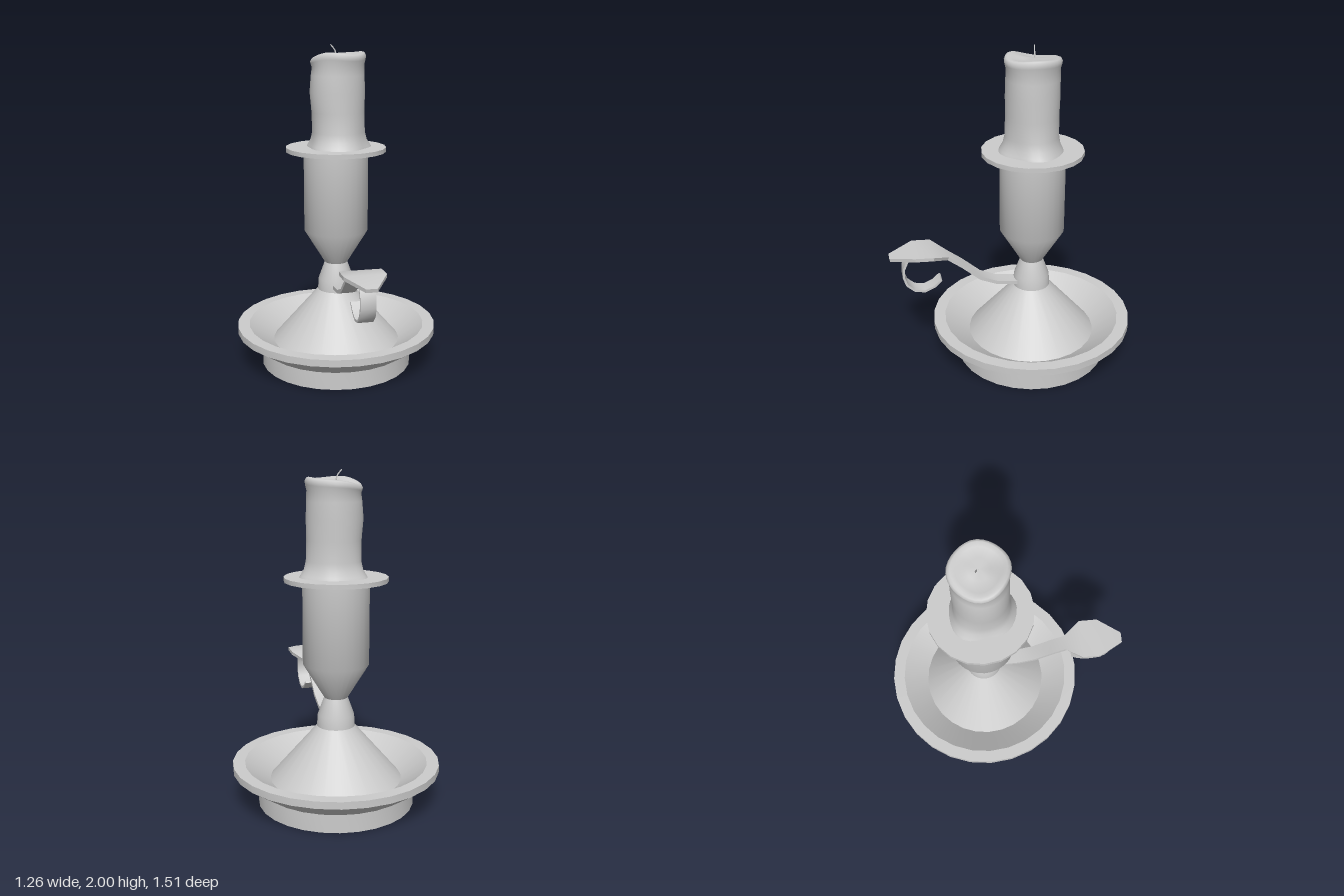
import * as THREE from 'three';
import { toCreasedNormals } from 'three/addons/utils/BufferGeometryUtils.js';

const AXIS_Z = -0.125; // the dish and candle stand behind the centre, the handle in front
const metal = new THREE.MeshStandardMaterial({ color: 0xcccccc, side: THREE.DoubleSide });

function addMesh(group, name, geometry, crease = 0.6) {
  const mesh = new THREE.Mesh(toCreasedNormals(geometry, crease), metal);
  mesh.name = name;
  group.add(mesh);
  return mesh;
}

// Turned part from [radius, height] pairs
function turned(group, name, profile, sides) {
  const points = profile.map(([r, y]) => new THREE.Vector2(r, y));
  const mesh = addMesh(group, name, new THREE.LatheGeometry(points, sides));
  mesh.position.z = AXIS_Z;
  return mesh;
}

// Flat strip following [z, y, halfWidth] stations, with constant thickness
function strip(stations, thickness) {
  const positions = [];
  const index = [];
  stations.forEach(([z, y, w], i) => {
    const a = stations[Math.max(i - 1, 0)];
    const b = stations[Math.min(i + 1, stations.length - 1)];
    const length = Math.hypot(b[0] - a[0], b[1] - a[1]);
    const nz = -(b[1] - a[1]) / length * thickness / 2;
    const ny = (b[0] - a[0]) / length * thickness / 2;
    positions.push(-w, y + ny, z + nz, w, y + ny, z + nz, w, y - ny, z - nz, -w, y - ny, z - nz);
    if (i === 0) return;
    for (let k = 0; k < 4; k++) {
      const p = (i - 1) * 4 + k, q = (i - 1) * 4 + (k + 1) % 4;
      index.push(p, p + 4, q, q, p + 4, q + 4);
    }
  });
  const e = (stations.length - 1) * 4;
  index.push(0, 1, 2, 0, 2, 3, e, e + 2, e + 1, e, e + 3, e + 2);
  const geometry = new THREE.BufferGeometry();
  geometry.setAttribute('position', new THREE.Float32BufferAttribute(positions, 3));
  geometry.setIndex(index);
  return geometry;
}

// Half-melted candle: a turned body with a flared foot and uneven lip
function candleGeometry() {
  const profile = [
    [0.195, 1.38], [0.186, 1.4], [0.17, 1.43], [0.16, 1.48], [0.157, 1.6], [0.159, 1.72], [0.157, 1.82],
    [0.155, 1.88], [0.163, 1.91], [0.165, 1.93], [0.157, 1.948], [0.143, 1.952], [0.12, 1.942], [0.06, 1.937], [0.001, 1.937],
  ].map(([r, y]) => new THREE.Vector2(r, y));
  const geometry = new THREE.LatheGeometry(profile, 32);
  const pos = geometry.attributes.position;
  for (let i = 0; i < pos.count; i++) {
    const x = pos.getX(i), y = pos.getY(i), z = pos.getZ(i);
    const angle = Math.atan2(x, z);
    const r = Math.hypot(x, z);
    const foot = THREE.MathUtils.clamp((1.5 - y) / 0.12, 0, 1);
    const lip = THREE.MathUtils.clamp((y - 1.84) / 0.1, 0, 1);
    const waist = Math.exp(-(((y - 1.72) / 0.13) ** 2));
    const scale = 1
      + foot * (0.05 * Math.sin(3 * angle + 2.6) + 0.03 * Math.sin(5 * angle))
      + lip * 0.02 * Math.sin(4 * angle + 1)
      + waist * 0.1 * Math.max(0, -Math.sin(angle)) ** 2
      + 0.012 * Math.sin(3 * angle + y * 6);
    // the lip sinks toward the back right, where wax has run over
    const spill = Math.max(0, Math.cos(angle + 2.2)) ** 2;
    const sink = lip * (r / 0.165) * (0.04 * spill + 0.006 * Math.sin(3 * angle));
    pos.setXYZ(i, x * scale, y - sink, z * scale);
  }
  return geometry;
}

export function createModel() {
  const group = new THREE.Group();
  group.name = 'chamberstick';

  // Hollow foot ring, dish with flat rim, raised cone and neck
  turned(group, 'dishBase', [
    [0.001, 0.5], [0.1, 0.47], [0.39, 0.135], [0.465, 0.11], [0.465, 0],
    [0.475, 0], [0.475, 0.11], [0.628, 0.215], [0.628, 0.258], [0.555, 0.258],
    [0.4, 0.15], [0.115, 0.48], [0.11, 0.55], [0.07, 0.66],
  ], 28);

  // Candle cup
  turned(group, 'candleCup', [[0.07, 0.655], [0.198, 0.865], [0.198, 1.365]], 28);

  // Drip plate
  turned(group, 'dripPlate', [[0.001, 1.36], [0.307, 1.36], [0.307, 1.387], [0.001, 1.387]], 20);

  // Candle and wick
  const candle = addMesh(group, 'candle', candleGeometry(), 1.3);
  candle.position.set(0.013, 0, -0.117);
  const wickPath = new THREE.CatmullRomCurve3([
    new THREE.Vector3(0.005, 1.93, -0.13),
    new THREE.Vector3(-0.005, 1.965, -0.13),
    new THREE.Vector3(-0.03, 1.998, -0.135),
  ]);
  addMesh(group, 'wick', new THREE.TubeGeometry(wickPath, 5, 0.004, 5), 1.2);

  // Handle arm, broadening into a leaf-shaped thumb rest
  const handle = new THREE.Group();
  handle.name = 'handle';
  handle.position.x = 0.005;
  addMesh(handle, 'handleArm', strip([
    [-0.03, 0.515, 0.046], [0.1, 0.53, 0.046], [0.205, 0.573, 0.046], [0.32, 0.672, 0.046],
    [0.405, 0.735, 0.046], [0.5, 0.78, 0.122], [0.61, 0.785, 0.122], [0.757, 0.757, 0.032],
  ], 0.022), 0.4);

  // Finger loop curling back under the thumb rest
  addMesh(handle, 'fingerLoop', strip([
    [0.615, 0.775, 0.045], [0.655, 0.735, 0.045], [0.677, 0.685, 0.045], [0.68, 0.63, 0.045],
    [0.662, 0.575, 0.045], [0.615, 0.533, 0.045], [0.555, 0.522, 0.045], [0.495, 0.548, 0.045],
    [0.452, 0.588, 0.045],
  ], 0.014), 0.6);
  group.add(handle);

  return group;
}
